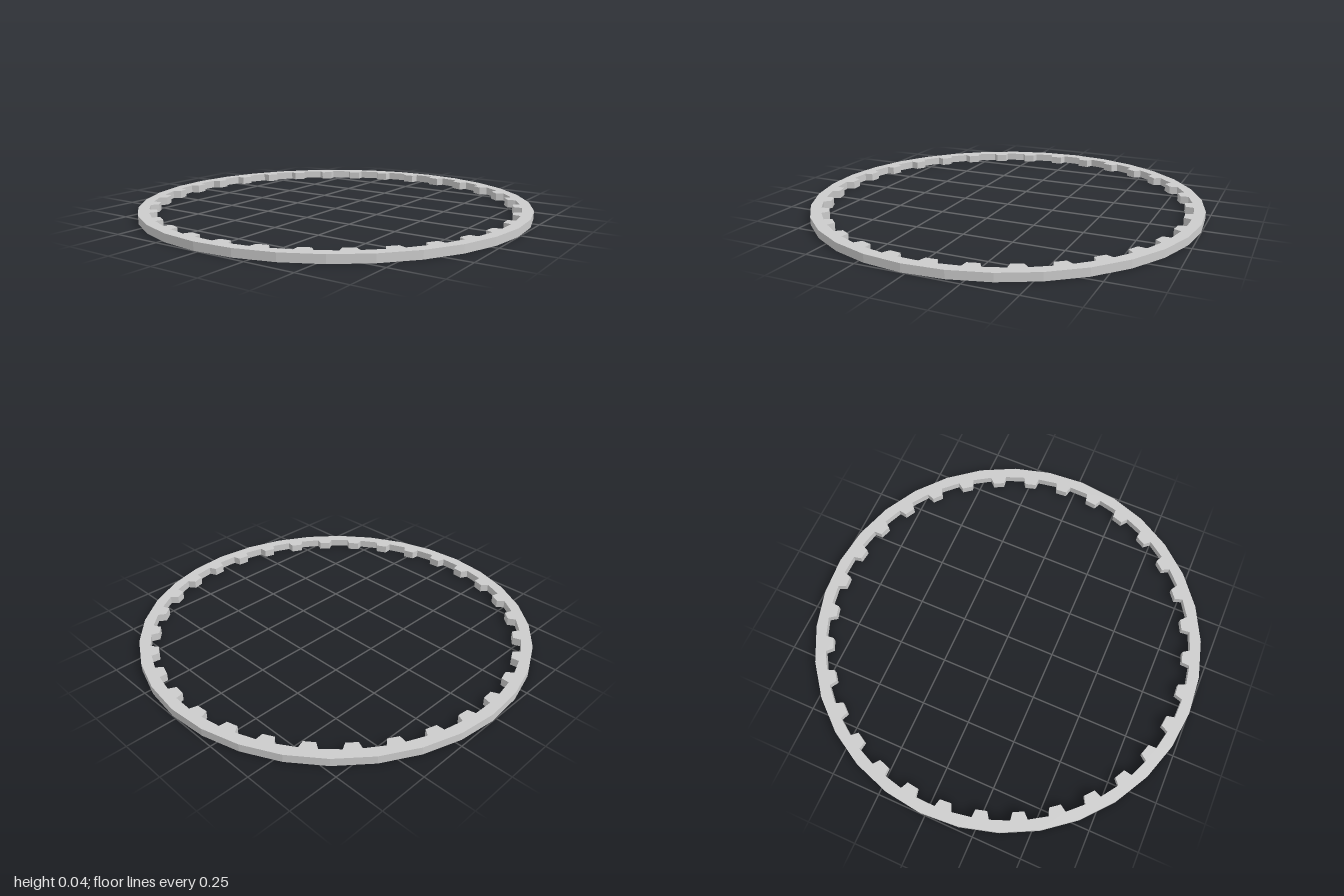
import * as THREE from 'three';

const COUNT = 32;              // outer facets, one tooth behind each
const STEP = (Math.PI * 2) / COUNT;
const PHASE = THREE.MathUtils.degToRad(1.4);
const HEIGHT = 0.04;

// Point at a clockwise angle from the back of the ring
const polar = (radius, angle) =>
  new THREE.Vector2(radius * Math.sin(angle), radius * Math.cos(angle));

export function createModel() {
  const group = new THREE.Group();
  group.name = 'internalGearRing';

  const outer = [];
  const inner = [];
  // One tooth: [radius, angle from the tooth centre in degrees]
  const tooth = [[0.944, -2.55], [0.905, -1.8], [0.905, 1.8], [0.944, 2.55]];
  for (let i = 0; i < COUNT; i++) {
    const corner = PHASE + i * STEP;
    outer.push(polar(1, corner));
    for (const [radius, offset] of tooth) {
      inner.push(polar(radius, corner + STEP / 2 + THREE.MathUtils.degToRad(offset)));
    }
  }

  // Faceted rim with the toothed outline cut out of it;
  // the hole runs against the rim so its walls face inward
  const shape = new THREE.Shape(outer);
  shape.holes.push(new THREE.Path(inner.reverse()));
  const geometry = new THREE.ExtrudeGeometry(shape, { depth: HEIGHT, bevelEnabled: false });
  geometry.rotateX(-Math.PI / 2);

  const ring = new THREE.Mesh(
    geometry,
    new THREE.MeshStandardMaterial({ color: 0xcccccc, flatShading: true })
  );
  ring.name = 'toothedRing';
  group.add(ring);
  return group;
}
